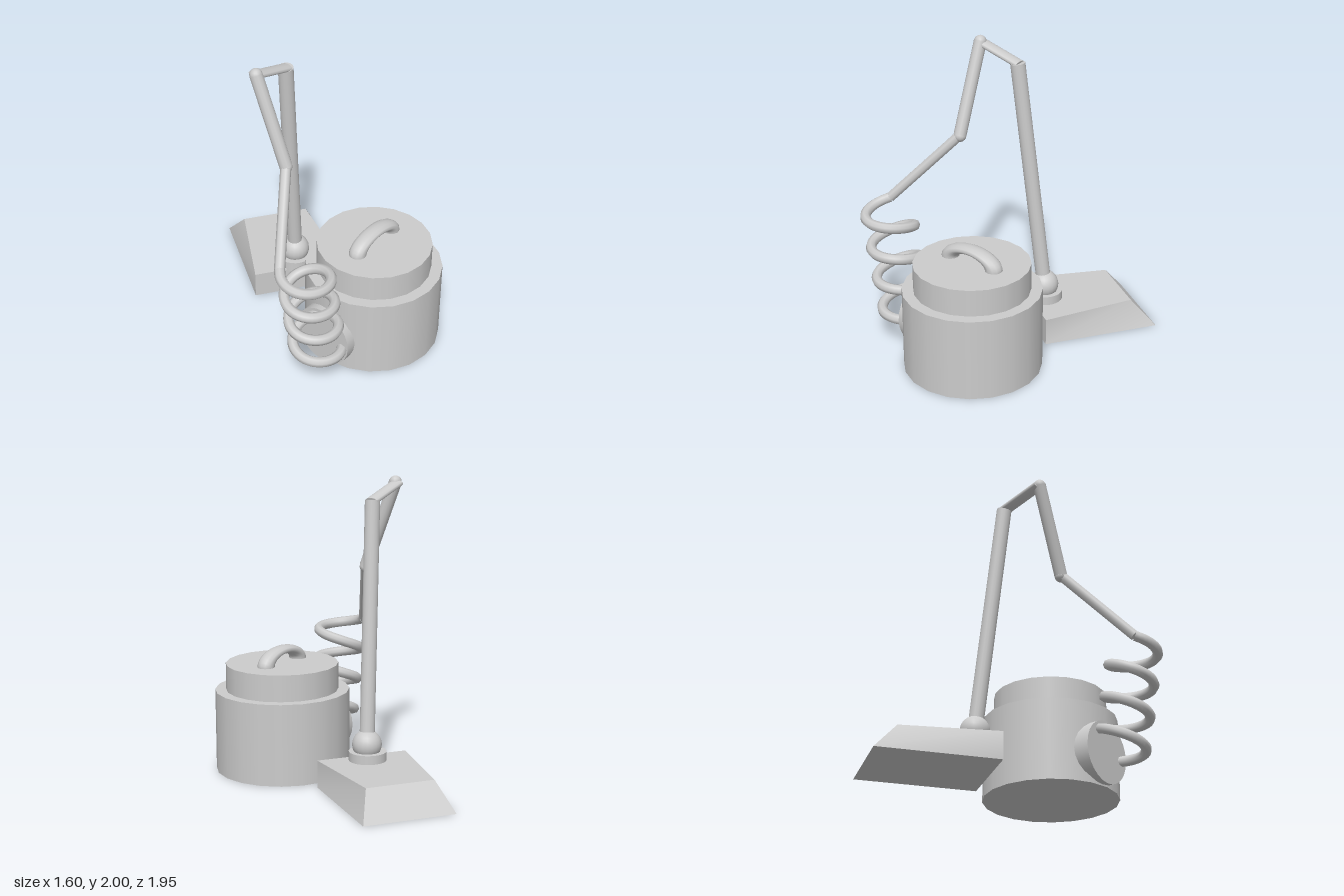
import * as THREE from 'three';

const mat = new THREE.MeshStandardMaterial({ color: 0xcccccc });
const V = (x, y, z) => new THREE.Vector3(x, y, z);

export function createModel() {
  const group = new THREE.Group();

  function add(name, geometry, x = 0, y = 0, z = 0) {
    const mesh = new THREE.Mesh(geometry, mat);
    mesh.name = name;
    mesh.position.set(x, y, z);
    group.add(mesh);
    return mesh;
  }

  // Straight cylinder between two points
  function rod(name, a, b, radius, sides = 16) {
    const mesh = add(name, new THREE.CylinderGeometry(radius, radius, a.distanceTo(b), sides));
    mesh.position.copy(a).lerp(b, 0.5);
    mesh.quaternion.setFromUnitVectors(V(0, 1, 0), b.clone().sub(a).normalize());
    return mesh;
  }

  // Canister body, lid and flattened arch handle
  const cx = 0.097, cz = 0.514;
  add('canisterBody', new THREE.CylinderGeometry(0.456, 0.456, 0.555, 20), cx, 0.2775, cz);
  add('canisterLid', new THREE.CylinderGeometry(0.382, 0.382, 0.19, 20), cx, 0.64, cz);
  const handle = add('lidHandle', new THREE.TorusGeometry(0.177, 0.058, 12, 20, Math.PI), cx, 0.735, cz);
  handle.scale.y = 0.5;

  // Round hose inlet on the canister's side
  rod('hoseInlet', V(-0.39, 0.222, 0.48), V(-0.2, 0.222, 0.48), 0.212, 24);

  // Coiled hose: a leaning helix that ends in the inlet
  const R = 0.155, start = -0.98, end = 7 * Math.PI;
  const coilPoint = (a) => {
    const turns = a / (2 * Math.PI);
    return V(
      -0.61 + 0.04 * turns - R * Math.cos(a),
      0.907 - 0.215 * turns - 0.027 * Math.cos(a),
      cz + R * Math.sin(a)
    );
  };
  const points = [];
  for (let i = 0; i <= 56; i++) points.push(coilPoint(start + (end - start) * i / 56));
  add('coiledHose', new THREE.TubeGeometry(new THREE.CatmullRomCurve3(points), 140, 0.035, 8));

  // Straight hose sections with ball joints
  const elbow = V(-0.318, 1.38, 0.11), peak = V(-0.325, 1.962, -0.12);
  const wandTop = V(-0.03, 1.872, -0.135), ankle = V(0.143, 0.29, -0.212);
  rod('lowerHose', coilPoint(start), elbow, 0.035, 8);
  rod('upperHose', elbow, peak, 0.043, 12);
  add('elbowJoint', new THREE.SphereGeometry(0.042, 14, 10), elbow.x, elbow.y - 0.005, elbow.z);
  add('peakJoint', new THREE.SphereGeometry(0.042, 14, 10), peak.x, peak.y, peak.z);
  const link = rod('topLink', V(-0.325, 1.955, -0.133), V(-0.015, 1.865, -0.137), 0.047, 12);
  link.scale.x = 0.5;

  // Wand, swivel ball and collar
  rod('wand', wandTop, ankle, 0.05);
  add('swivelBall', new THREE.SphereGeometry(0.098, 20, 14), ankle.x, ankle.y, ankle.z);
  add('swivelCollar', new THREE.CylinderGeometry(0.125, 0.125, 0.08, 24), 0.14, 0.205, -0.215);

  // Floor head: box whose far top edge is drawn in
  const head = new THREE.BoxGeometry(0.627, 0.185, 0.806);
  const p = head.attributes.position;
  for (let i = 0; i < p.count; i++) {
    if (p.getY(i) > 0 && p.getZ(i) < 0) {
      p.setX(i, p.getX(i) * 0.742);
      p.setZ(i, p.getZ(i) + 0.158);
    }
  }
  head.computeVertexNormals();
  add('floorHead', head, 0.3125, 0.0925, -0.4665).rotation.y = -0.594;

  return group;
}
